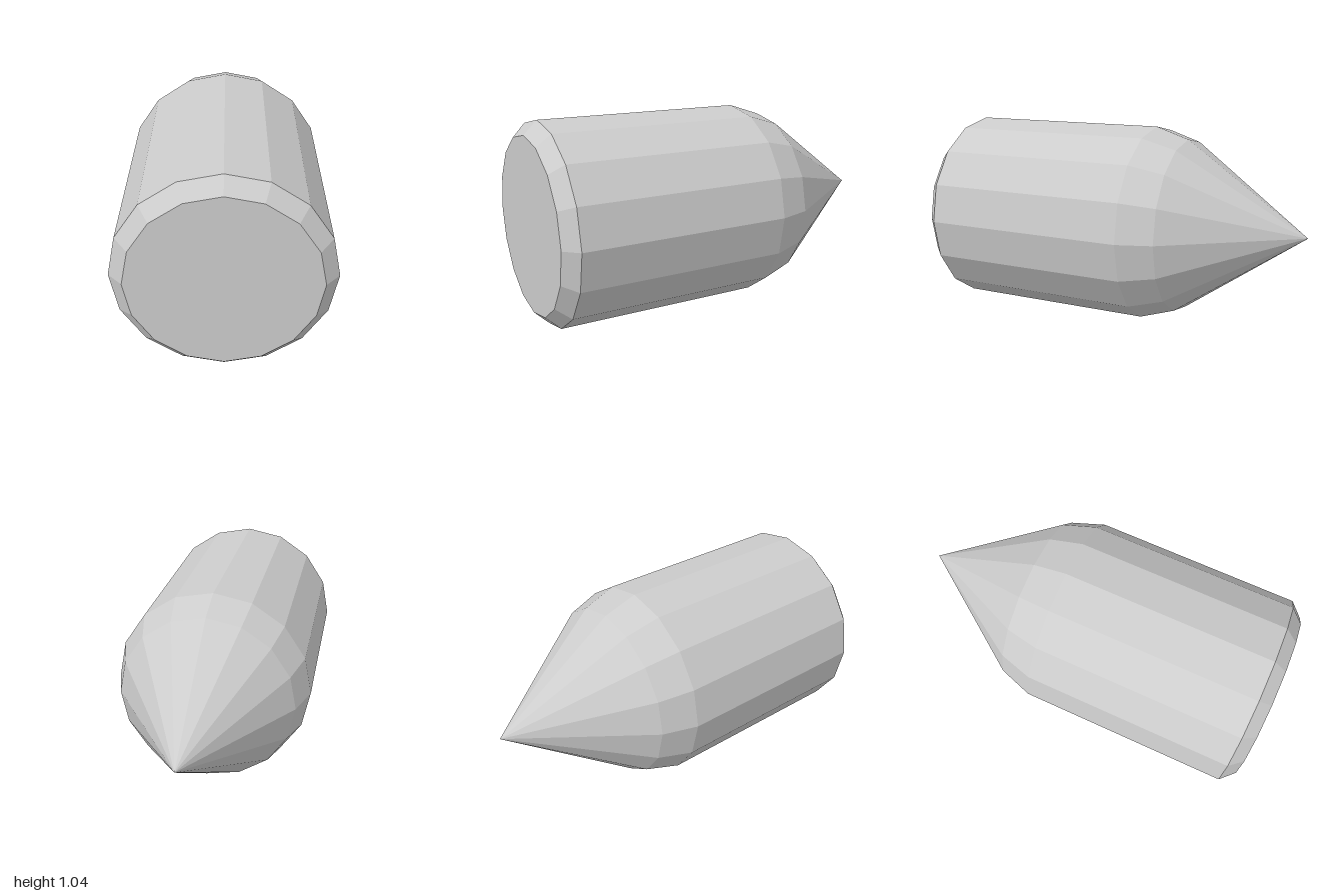
import * as THREE from 'three';

const SIDES = 16;
const AXIS_HEIGHT = 0.522;

export function createModel() {
  const group = new THREE.Group();
  group.name = 'bullet';

  const grey = new THREE.MeshStandardMaterial({ color: 0xcccccc, flatShading: true });
  grey.name = 'light grey';

  function add(name, geometry, z) {
    const mesh = new THREE.Mesh(geometry, grey);
    mesh.name = name;
    mesh.position.set(0, AXIS_HEIGHT, z);
    group.add(mesh);
  }

  // Open faceted band along z, from its front end to its back end
  function band(name, zFront, rFront, zBack, rBack) {
    const geometry = new THREE.CylinderGeometry(rFront, rBack, zFront - zBack, SIDES, 1, true);
    geometry.rotateX(Math.PI / 2);
    add(name, geometry, (zFront + zBack) / 2);
  }

  // Flat base, bevelled rim, straight body, tapered shoulder and pointed nose
  add('base', new THREE.CircleGeometry(0.453, SIDES), 1);
  band('rim', 1, 0.453, 0.93, 0.522);
  band('body', 0.93, 0.522, -0.17, 0.522);
  band('shoulder', -0.17, 0.522, -0.35, 0.463);
  band('nose', -0.35, 0.463, -1, 0);

  return group;
}
